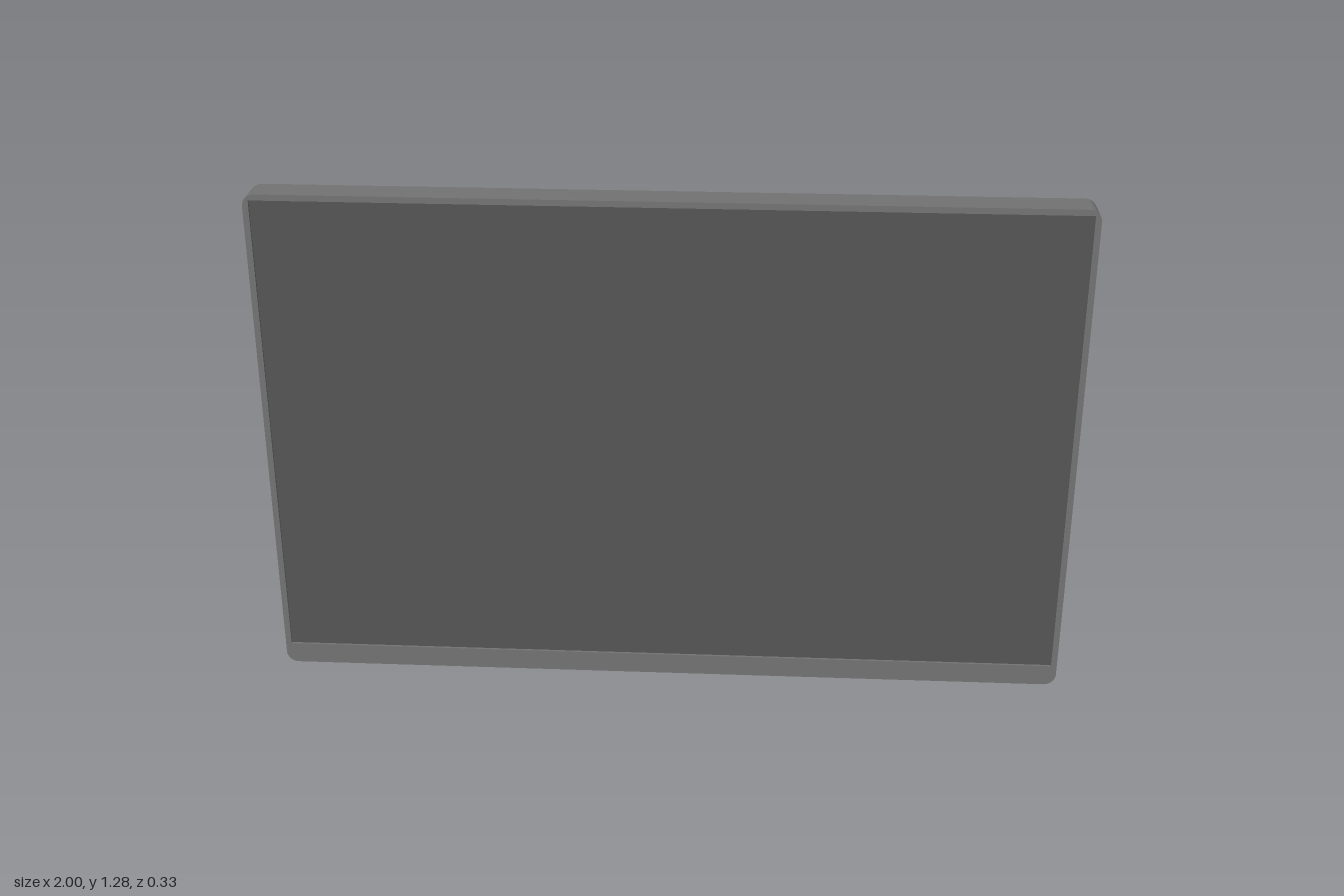
import * as THREE from 'three';
import { toCreasedNormals } from 'three/addons/utils/BufferGeometryUtils.js';

const mat = (color) => new THREE.MeshStandardMaterial({ color, side: THREE.DoubleSide });
const housing = mat(0x737373), glass = mat(0x555555), steel = mat(0xcccac2), dark = mat(0x484848);

const H = 1.285, RIM = 0.085, FRONT = 0.165, MID = 0.645, N = 8;
const PX0 = -0.63, PX1 = 0.6, PY0 = 0.18, PY1 = 1.04; // flat area of the back

function add(parent, name, geometry, material, x = 0, y = 0, z = 0) {
  const mesh = new THREE.Mesh(geometry, material);
  mesh.name = name;
  mesh.position.set(x, y, z);
  parent.add(mesh);
  return mesh;
}
const box = (w, h, d) => new THREE.BoxGeometry(w, h, d);
const rod = (r, h) => new THREE.CylinderGeometry(r, r, h, 16);
const pts = (list) => list.map(([x, y]) => new THREE.Vector2(x, y));
const extrude = (shape, depth) => new THREE.ExtrudeGeometry(shape, { depth, bevelEnabled: false, curveSegments: 16 });

// Counter-clockwise outline of a rounded rectangle
function roundRect(x0, x1, y0, y1, r) {
  const out = [];
  [[x1 - r, y1 - r], [x0 + r, y1 - r], [x0 + r, y0 + r], [x1 - r, y0 + r]].forEach(([cx, cy], k) => {
    for (let i = 0; i <= N; i++) {
      const a = (k + i / N) * Math.PI / 2;
      out.push(new THREE.Vector2(cx + r * Math.cos(a), cy + r * Math.sin(a)));
    }
  });
  return out;
}

// Sheet facing -z whose depth follows a rule of x
function backSheet(outline, hole, depthAt) {
  const shape = new THREE.Shape(outline);
  if (hole) shape.holes.push(new THREE.Path(hole));
  const g = new THREE.ShapeGeometry(shape);
  const p = g.attributes.position;
  for (let i = 0; i < p.count; i++) p.setZ(i, depthAt(p.getX(i)));
  g.index.array.reverse();
  g.computeVertexNormals();
  return g;
}

// Walls running from the surface down to the floor of a recess
function recessWalls(outline, depthAt, floor) {
  const v = [];
  outline.forEach((a, i) => {
    const b = outline[(i + 1) % outline.length];
    const za = depthAt(a.x), zb = depthAt(b.x);
    v.push(a.x, a.y, za, b.x, b.y, zb, a.x, a.y, floor, b.x, b.y, zb, b.x, b.y, floor, a.x, a.y, floor);
  });
  const g = new THREE.BufferGeometry();
  g.setAttribute('position', new THREE.Float32BufferAttribute(v, 3));
  g.computeVertexNormals();
  return g;
}

function addRecess(parent, name, outline, depthAt, floor) {
  add(parent, name + 'Walls', recessWalls(outline, depthAt, floor), housing);
  add(parent, name + 'Floor', backSheet(outline, null, () => floor), housing);
}

function createScreen() {
  const g = new THREE.Group();
  g.name = 'display';
  const rim = roundRect(-1, 1, 0, H, 0.03), flat = roundRect(PX0, PX1, PY0, PY1, 0.06);

  // Front frame and screen
  const frame = new THREE.Shape(rim);
  frame.holes.push(new THREE.Path(pts([[-0.985, 0.055], [-0.985, 1.27], [0.985, 1.27], [0.985, 0.055]])));
  add(g, 'frame', toCreasedNormals(extrude(frame, FRONT - RIM), 0.5), housing, 0, 0, RIM);
  add(g, 'screen', box(1.972, 1.217, 0.02), glass, 0, 0.6625, FRONT - 0.016);

  // Sloping back shell, leaving out the side that holds the connector recess
  const v = [], skip = 2 * N + 1;
  rim.forEach((a, i) => {
    if (i === skip) return;
    const j = (i + 1) % rim.length, b = flat[i], c = rim[j], d = flat[j];
    v.push(a.x, a.y, RIM, b.x, b.y, 0, c.x, c.y, RIM, c.x, c.y, RIM, b.x, b.y, 0, d.x, d.y, 0);
  });
  const shell = new THREE.BufferGeometry();
  shell.setAttribute('position', new THREE.Float32BufferAttribute(v, 3));
  add(g, 'backShell', toCreasedNormals(shell, 0.35), housing);

  // Slope with the wedge-shaped side connector recess
  const slope = (x) => RIM * (PX0 - x) / (PX0 + 1);
  const sideHole = pts([[-0.84, 0.32], [-0.66, 0.335], [-0.66, 0.72], [-0.84, 0.72]]);
  add(g, 'backSlope', backSheet([rim[skip], rim[skip + 1], flat[skip + 1], flat[skip]], sideHole, slope), housing);
  addRecess(g, 'sideRecess', sideHole, slope, 0.049);
  for (let i = 0; i < 4; i++) add(g, 'sideSocket', box(0.012, 0.04, 0.022), dark, -0.664, 0.66 - i * 0.06, 0.028);

  // Flat back with the stepped lower connector recess
  const level = () => 0;
  const portHole = pts([[-0.55, 0.3], [-0.34, 0.3], [-0.34, 0.385], [-0.43, 0.385], [-0.43, 0.37],
    [-0.465, 0.37], [-0.465, 0.42], [-0.45, 0.425], [-0.45, 0.455], [-0.55, 0.455]]);
  add(g, 'backPanel', backSheet(flat, portHole, level), housing);
  addRecess(g, 'portRecess', portHole, level, 0.035);
  [0xb03030, 0xd8d8d8, 0xc0a040, 0x909090, 0x909090].forEach((color, i) => {
    add(g, 'roundSocket', rod(0.009, 0.02), mat(color), -0.365 - i * 0.038, 0.325, 0.026).rotation.x = Math.PI / 2;
  });
  add(g, 'squareSocket', box(0.04, 0.035, 0.02), dark, -0.52, 0.425, 0.026);
  add(g, 'flatSocket', box(0.045, 0.02, 0.02), dark, -0.375, 0.36, 0.026);

  // Control strip with six buttons
  const tilt = -Math.atan(RIM / (1 - PX1));
  const strip = new THREE.Group();
  strip.name = 'controls';
  strip.position.set(0.93, 0.305, RIM * (0.93 - PX1) / (1 - PX1));
  strip.rotation.y = tilt;
  add(strip, 'controlStrip', box(0.06, 0.41, 0.006), housing);
  for (let i = 0; i < 6; i++) add(strip, 'button', box(0.024, 0.03, 0.014), dark, 0, 0.14 - i * 0.055, -0.002);
  g.add(strip);
  return g;
}

// One side of the folding mount, with y measured from its middle
function createMountSide() {
  const g = new THREE.Group();
  g.name = 'mountSide';

  // Plate fixed to the display, with screws
  add(g, 'mountingPad', box(0.175, 0.42, 0.012), steel, 0.17, 0, -0.006);
  for (const x of [0.115, 0.225]) for (const y of [-0.16, -0.05, 0.05, 0.16])
    add(g, 'screw', rod(0.012, 0.01), dark, x, y, -0.013).rotation.x = Math.PI / 2;

  // C-shaped bracket standing on the pad, drawn in profile
  const bracket = new THREE.Shape(pts([[0.01, 0.125], [0.05, 0.108], [0.062, 0.09], [0.062, -0.09], [0.05, -0.108],
    [0.01, -0.125], [0.01, -0.075], [0.035, -0.075], [0.046, -0.06], [0.046, 0.06], [0.035, 0.075], [0.01, 0.075]]));
  add(g, 'bracket', extrude(bracket, 0.024), steel, 0.158, 0, 0).rotation.y = Math.PI / 2;
  add(g, 'bracketPin', rod(0.013, 0.19), steel, 0.17, 0, -0.057);

  // Thin link from bracket to hinge
  const dx = 0.145, dz = -0.018;
  add(g, 'link', box(Math.hypot(dx, dz), 0.075, 0.01), steel, 0.17 + dx / 2, 0, -0.057 + dz / 2).rotation.y = -Math.atan2(dz, dx);
  add(g, 'hingePin', rod(0.011, 0.2), steel, 0.315, 0, -0.075);
  add(g, 'hingeKnuckle', rod(0.016, 0.075), steel, 0.315, 0, -0.075);

  // Sloping arm: two tapering legs joined along the hinge
  const arm = new THREE.Shape(pts([[0, 0.21], [0.03, 0.21], [0.18, 0.12], [0.2, 0.1], [0.2, -0.1], [0.18, -0.12], [0.03, -0.21],
    [0, -0.21], [0, -0.1], [0.155, -0.09], [0.172, -0.07], [0.172, 0.07], [0.155, 0.09], [0, 0.1]]));
  add(g, 'arm', extrude(arm, 0.014), steel, 0.125, 0, -0.157).rotation.y = -Math.atan2(0.068, 0.19);
  // Strap carrying the curved bars
  add(g, 'strap', box(0.03, 0.48, 0.012), steel, 0.115, 0, -0.143);
  return g;
}

function createMount() {
  const g = new THREE.Group();
  g.name = 'wallMount';
  g.position.y = MID;
  const bar = new THREE.Shape();
  bar.moveTo(-0.4, 0.21);
  bar.quadraticCurveTo(0, 0.28, 0.4, 0.21);
  bar.lineTo(0.4, 0.26);
  bar.quadraticCurveTo(0, 0.33, -0.4, 0.26);
  bar.closePath();
  const barGeometry = toCreasedNormals(extrude(bar, 0.027), 0.5);
  // The half-turn repeats each side, since the mount is alike above and below
  for (const turn of [0, Math.PI]) {
    const side = createMountSide();
    add(side, 'curvedBar', barGeometry, steel, 0, 0, -0.163);
    side.rotation.z = turn;
    g.add(side);
  }
  add(g, 'centrePlate', box(0.265, 0.2, 0.024), steel, 0, 0, -0.149);
  add(g, 'plateRoll', rod(0.018, 0.24), steel, 0, -0.075, -0.136).rotation.z = Math.PI / 2;
  return g;
}

export function createModel() {
  const model = new THREE.Group();
  model.name = 'wallDisplay';
  model.add(createScreen(), createMount());
  return model;
}
